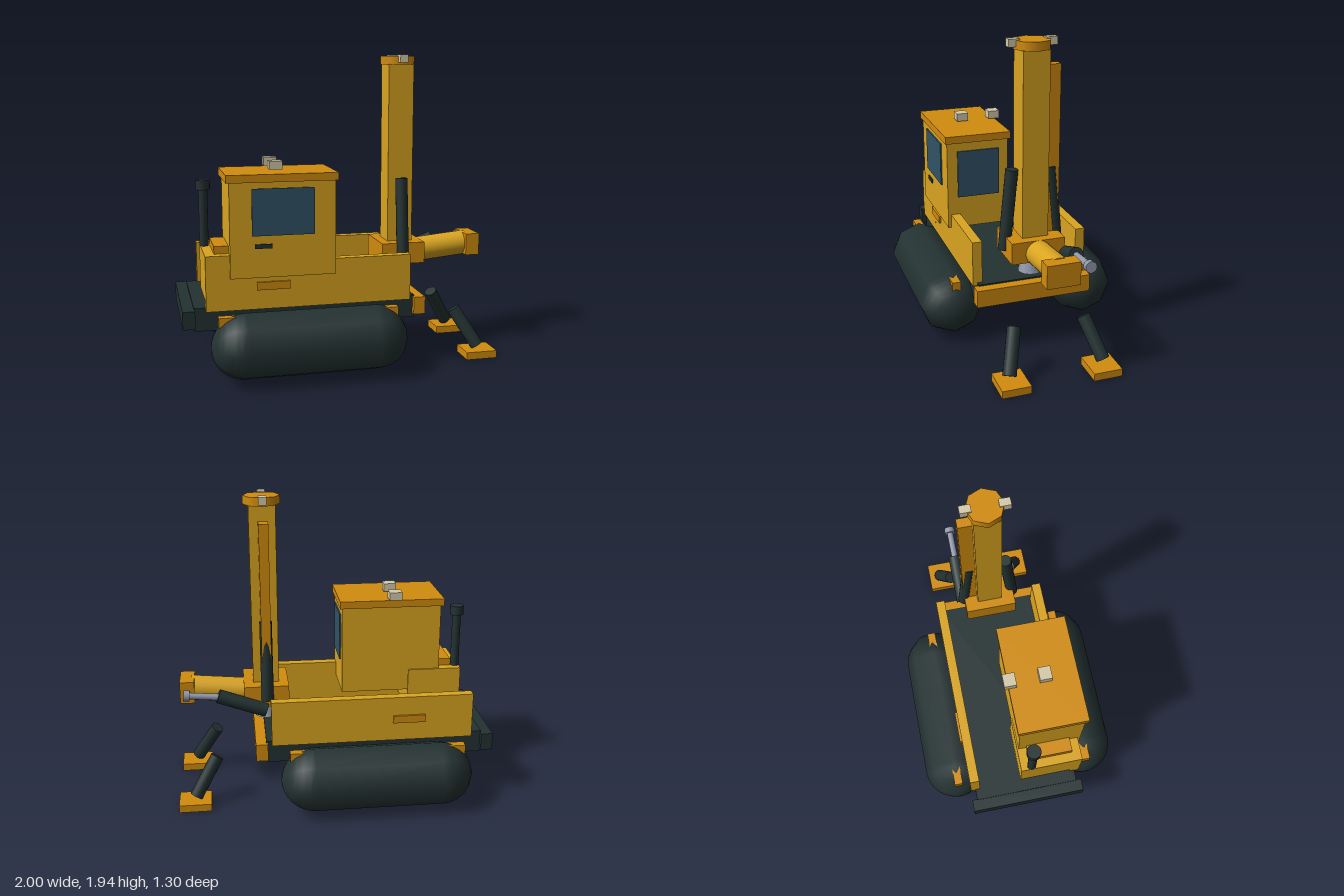
import * as THREE from 'three';

const material = (name, color) => {
  const m = new THREE.MeshStandardMaterial({ color });
  m.name = name;
  return m;
};

export function createModel() {
  const model = new THREE.Group();
  model.name = 'drillingRig';

  const yellow = material('yellowPaint', 0xdaa520);
  const orange = material('orangePaint', 0xd28c0e);
  const dark = material('darkRubber', 0x243232);
  const glass = material('windowGlass', 0x315468);
  const lamp = material('lampCream', 0xd6ccac);
  const steel = material('steel', 0x8f96a8);

  const add = (name, geometry, mat) => {
    const mesh = new THREE.Mesh(geometry, mat);
    mesh.name = name;
    model.add(mesh);
    return mesh;
  };

  // Box given by its extents on each axis
  const box = (name, mat, [x0, x1], [y0, y1], [z0, z1]) => {
    const mesh = add(name, new THREE.BoxGeometry(x1 - x0, y1 - y0, z1 - z0), mat);
    mesh.position.set((x0 + x1) / 2, (y0 + y1) / 2, (z0 + z1) / 2);
    return mesh;
  };

  // Cylinder or cone running from point a to point b
  const rod = (name, mat, a, b, ra, rb = ra, sides = 16) => {
    const from = new THREE.Vector3(...a);
    const to = new THREE.Vector3(...b);
    const mesh = add(name, new THREE.CylinderGeometry(rb, ra, from.distanceTo(to), sides), mat);
    mesh.position.copy(from).add(to).multiplyScalar(0.5);
    mesh.quaternion.setFromUnitVectors(new THREE.Vector3(0, 1, 0), to.sub(from).normalize());
    return mesh;
  };

  // z extents mirrored to side s
  const side = (s, a, b) => (s > 0 ? [a, b] : [-b, -a]);

  // Chassis
  box('chassis', dark, [-0.93, 0.443], [0.31, 0.452], [-0.337, 0.337]);
  box('rearBumper', dark, [-1, -0.925], [0.333, 0.443], [-0.37, 0.37]);
  box('frontBumper', orange, [0.433, 0.508], [0.333, 0.443], [-0.367, 0.367]);

  // Parts repeated on both sides
  for (const s of [1, -1]) {
    const track = add('track', new THREE.CapsuleGeometry(0.205, 0.793, 8, 8), dark);
    track.rotation.z = Math.PI / 2;
    track.position.set(-0.243, 0.231, s * 0.443);
    for (const x of [-0.73, 0.235])
      box('trackBracket', orange, [x - 0.067, x + 0.067], [0.36, 0.419], side(s, 0.412, 0.466));

    box('sidePanel', yellow, [-0.86, 0.408], [0.432, 0.72], side(s, 0.305, 0.365));
    box('panelHandle', orange, [-0.556, -0.353], [0.552, 0.6], side(s, 0.355, 0.379));

    rod('mastStrut', dark, [0.42, 0.66, s * 0.168], [0.42, 1.165, s * 0.12], 0.039);
    box('mastLamp', lamp, [0.396, 0.446], [1.895, 1.942], side(s, 0.08, 0.149));

    rod('outriggerLeg', dark, [0.892, 0.075, s * 0.295], [0.753, 0.31, s * 0.22], 0.042);
    box('outriggerPad', orange, [0.797, 1], [0.005, 0.053], side(s, 0.195, 0.374));
  }

  // Engine housing and exhaust
  box('engineHousing', yellow, [-0.86, -0.51], [0.49, 0.77], [-0.03, 0.367]);
  box('engineCover', orange, [-0.802, -0.6], [0.77, 0.817], [0.03, 0.31]);
  rod('exhaustPipe', dark, [-0.836, 0.77, 0.04], [-0.836, 1.13, 0.04], 0.028);
  rod('exhaustCap', dark, [-0.836, 1.123, 0.04], [-0.836, 1.182, 0.04], 0.044);

  // Cab
  box('cab', yellow, [-0.715, -0.073], [0.63, 1.205], [-0.02, 0.385]);
  box('cabRoof', orange, [-0.733, -0.058], [1.203, 1.25], [-0.035, 0.397]);
  box('sideWindow', glass, [-0.583, -0.206], [0.884, 1.166], [0.386, 0.395]);
  box('frontWindow', glass, [-0.072, -0.063], [0.838, 1.146], [0.042, 0.318]);
  box('doorHandle', dark, [-0.567, -0.463], [0.808, 0.834], [0.386, 0.395]);
  for (const z of [-0.024, 0.194])
    box('roofLamp', lamp, [-0.451, -0.37], [1.257, 1.308], [z - 0.038, z + 0.038]);

  // Mast
  box('mast', yellow, [0.342, 0.506], [0.7, 1.885], [-0.082, 0.082]);
  box('mastBase', orange, [0.283, 0.567], [0.614, 0.75], [-0.168, 0.168]);
  box('mastRail', orange, [0.39, 0.45], [0.75, 1.785], [-0.17, -0.08]);
  rod('mastCap', orange, [0.423, 1.88, 0], [0.423, 1.933, 0], 0.114, 0.114, 8);

  // Drill bit
  rod('drillCone', steel, [0.42, 0.497, 0], [0.42, 0.63, 0], 0.077, 0.03, 10);
  rod('drillTip', steel, [0.42, 0.482, 0], [0.42, 0.5, 0], 0.03, 0.03, 10);

  // Boom with end block
  rod('boom', yellow, [0.42, 0.656, 0], [0.905, 0.702, 0], 0.08, 0.08, 24);
  box('boomEnd', orange, [0.88, 0.971], [0.633, 0.775], [-0.102, 0.102]);

  // Hydraulic ram beside the boom
  rod('ramBody', dark, [0.43, 0.595, -0.176], [0.73, 0.705, -0.176], 0.044);
  rod('ramRod', steel, [0.64, 0.69, -0.176], [0.92, 0.715, -0.176], 0.021);
  rod('ramHead', steel, [0.908, 0.714, -0.176], [0.945, 0.717, -0.176], 0.035);

  return model;
}
